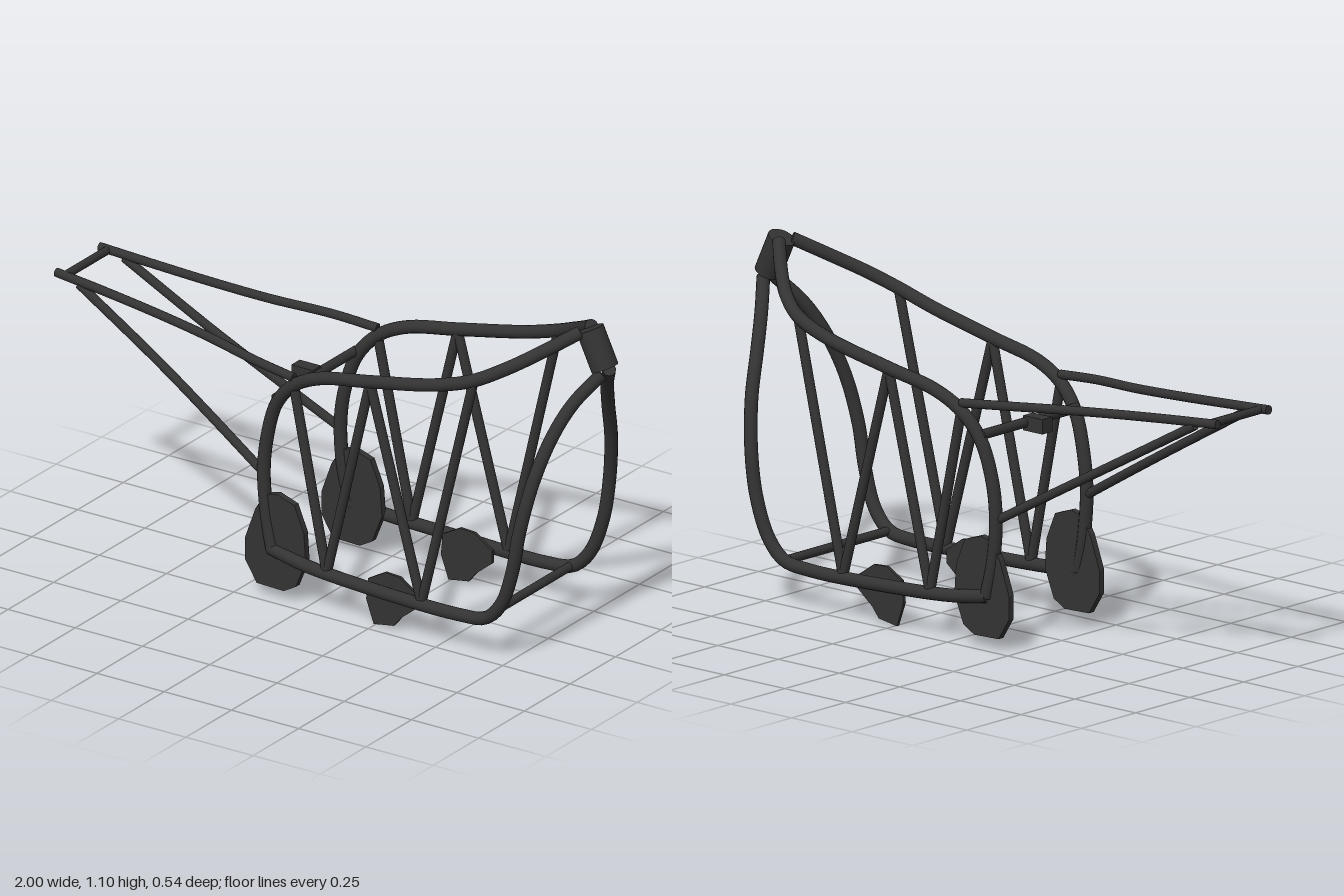
import * as THREE from 'three';

const V = (p, s = 1) => new THREE.Vector3(p[0], p[1], p[2] * s);

export function createModel() {
  const model = new THREE.Group();
  model.name = 'tubularFrame';
  const steel = new THREE.MeshStandardMaterial({ color: 0x333333 });
  steel.name = 'darkSteel';

  const add = (name, geometry, parent = model) => {
    const mesh = new THREE.Mesh(geometry, steel);
    mesh.name = name;
    parent.add(mesh);
    return mesh;
  };

  // Straight bar between two points
  const bar = (name, a, b, r, parent = model) => {
    const dir = b.clone().sub(a);
    const mesh = add(name, new THREE.CylinderGeometry(r, r, dir.length(), 14), parent);
    mesh.position.copy(a).add(b).multiplyScalar(0.5);
    mesh.quaternion.setFromUnitVectors(new THREE.Vector3(0, 1, 0), dir.normalize());
    return mesh;
  };

  // Bent tube with closed ends
  const bent = (name, points, r, parent, side) => {
    const curve = new THREE.CatmullRomCurve3(points.map((p) => V(p, side)));
    add(name, new THREE.TubeGeometry(curve, 72, r, 14), parent);
    for (const t of [0, 1]) {
      const cap = add(name + 'End', new THREE.CircleGeometry(r, 14), parent);
      const out = curve.getTangent(t).multiplyScalar(t ? 1 : -1);
      cap.position.copy(curve.getPoint(t));
      cap.quaternion.setFromUnitVectors(new THREE.Vector3(0, 0, 1), out);
    }
  };

  // Flat plate cut from an outline, centred on depth z
  const plate = (name, outline, z, thick, parent) => {
    const shape = new THREE.Shape(outline.map((p) => new THREE.Vector2(p[0], p[1])));
    const geometry = new THREE.ExtrudeGeometry(shape, { depth: thick, bevelEnabled: false });
    add(name, geometry, parent).position.z = z - thick / 2;
  };

  const upperRail = [
    [0.89, 1.075, 0.03], [0.8, 1.015, 0.12], [0.72, 0.967, 0.187], [0.63, 0.922, 0.232],
    [0.5, 0.88, 0.245], [0.25, 0.828, 0.242], [0.06, 0.79, 0.237], [-0.04, 0.74, 0.23],
    [-0.11, 0.66, 0.22], [-0.15, 0.54, 0.212], [-0.165, 0.42, 0.21], [-0.155, 0.28, 0.21],
    [-0.13, 0.16, 0.215],
  ];
  const lowerRail = [
    [-0.135, 0.163, 0.215], [0, 0.145, 0.23], [0.25, 0.132, 0.24], [0.58, 0.126, 0.24],
    [0.68, 0.14, 0.242], [0.74, 0.2, 0.245], [0.785, 0.32, 0.25], [0.81, 0.46, 0.247],
    [0.838, 0.62, 0.215], [0.868, 0.76, 0.155], [0.905, 0.86, 0.095], [0.963, 0.95, 0.02],
  ];
  const seatRail = [
    [-0.998, 0.842, 0.118], [-0.8, 0.827, 0.13], [-0.6, 0.811, 0.147], [-0.4, 0.795, 0.173],
    [-0.2, 0.78, 0.213], [-0.04, 0.765, 0.23],
  ];
  const seatStay = [
    [-0.91, 0.825, 0.123], [-0.6, 0.652, 0.147], [-0.4, 0.54, 0.173], [-0.17, 0.41, 0.208],
  ];
  const braces = [[-0.04, 0.74], [0.085, 0.14], [0.25, 0.825], [0.44, 0.13], [0.63, 0.92]];
  const pivotOutline = [
    [-0.11, 0.352], [-0.045, 0.33], [-0.01, 0.245], [-0.003, 0.15], [-0.04, 0.058],
    [-0.085, 0.033], [-0.185, 0.036], [-0.228, 0.105], [-0.228, 0.18], [-0.19, 0.285], [-0.155, 0.34],
  ];
  const pegOutline = [
    [0.222, 0.148], [0.285, 0.183], [0.34, 0.18], [0.405, 0.135], [0.405, 0.093],
    [0.345, 0.045], [0.318, 0.012], [0.243, 0.0], [0.215, 0.078],
  ];

  // Mirrored sides
  for (const s of [1, -1]) {
    const side = new THREE.Group();
    side.name = s > 0 ? 'frontSide' : 'backSide';
    model.add(side);
    bent('upperRail', upperRail, 0.021, side, s);
    bent('lowerRail', lowerRail, 0.021, side, s);
    bent('seatRail', seatRail, 0.0145, side, s);
    bent('seatStay', seatStay, 0.0145, side, s);
    for (let i = 0; i < braces.length - 1; i++) {
      const depth = (k) => [0.23, 0.234, 0.24, 0.238, 0.232][k];
      bar('trussBrace', V([...braces[i], depth(i)], s), V([...braces[i + 1], depth(i + 1)], s), 0.0155, side);
    }
    plate('pivotPlate', pivotOutline, 0.209 * s, 0.022, side);
    plate('pegPlate', pegOutline, 0.205 * s, 0.01, side);
  }

  // Cross members
  for (const [name, x, y, z, r] of [
    ['lowerCrossbar', 0.675, 0.14, 0.24, 0.0145],
    ['rearCrossbar', -0.115, 0.674, 0.22, 0.016],
    ['tailCrossbar', -0.967, 0.839, 0.12, 0.0135],
  ]) bar(name, V([x, y, -z]), V([x, y, z]), r);

  // Shock mount on the rear crossbar
  add('shockMount', new THREE.BoxGeometry(0.08, 0.047, 0.046)).position.set(-0.15, 0.673, 0);

  // Steering head
  const head = add('steeringHead', new THREE.CylinderGeometry(0.044, 0.044, 0.131, 24));
  head.position.set(0.933, 1.021, 0);
  head.rotation.z = THREE.MathUtils.degToRad(25);

  return model;
}
